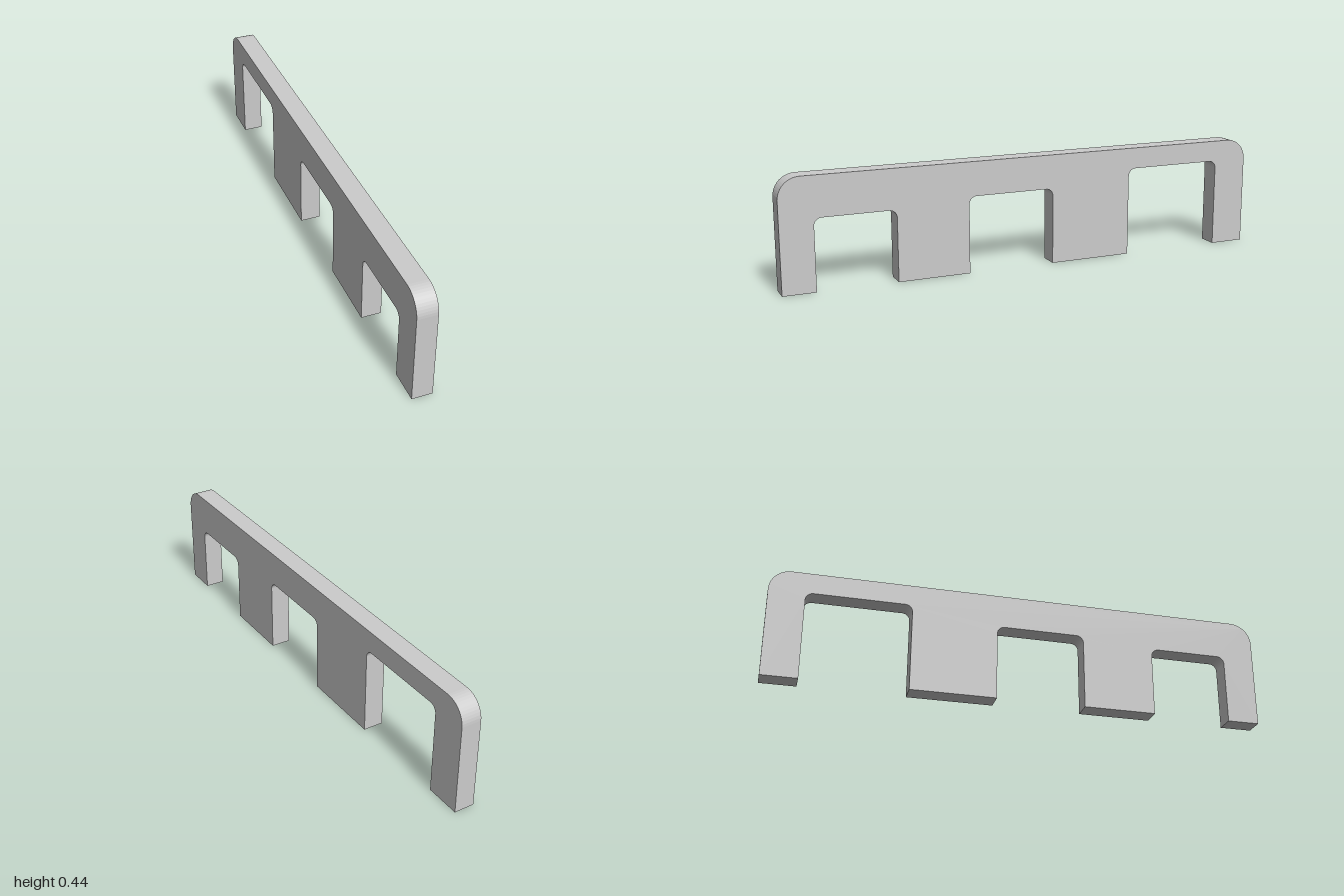
import * as THREE from 'three';

const WIDTH = 0.08;
const HEIGHT = 0.445;
const CORNER = 0.085;
const FILLET = 0.03;

// Openings between the legs, from back to front along z
const openings = [
  { back: -0.857, front: -0.44, top: 0.36 },
  { back: -0.097, front: 0.26, top: 0.308 },
  { back: 0.552, front: 0.87, top: 0.284 },
];

export function createModel() {
  const group = new THREE.Group();
  group.name = 'bridgeFrame';

  // Side profile: horizontal axis is z, vertical axis is y
  const profile = new THREE.Shape();
  profile.moveTo(-1, 0);
  for (const { back, front, top } of openings) {
    profile.lineTo(back, 0);
    profile.lineTo(back, top - FILLET);
    profile.absarc(back + FILLET, top - FILLET, FILLET, Math.PI, Math.PI / 2, true);
    profile.absarc(front - FILLET, top - FILLET, FILLET, Math.PI / 2, 0, true);
    profile.lineTo(front, 0);
  }
  profile.lineTo(1, 0);

  // Rounded outer top corners
  profile.absarc(1 - CORNER, HEIGHT - CORNER, CORNER, 0, Math.PI / 2, false);
  profile.absarc(-1 + CORNER, HEIGHT - CORNER, CORNER, Math.PI / 2, Math.PI, false);
  profile.closePath();

  // Extrude across the width and turn the profile to run along z
  const geometry = new THREE.ExtrudeGeometry(profile, {
    depth: WIDTH,
    bevelEnabled: false,
    curveSegments: 6,
  });
  geometry.translate(0, 0, -WIDTH / 2);
  geometry.rotateY(-Math.PI / 2);

  const frame = new THREE.Mesh(
    geometry,
    new THREE.MeshStandardMaterial({ color: 0xcccccc, flatShading: true })
  );
  frame.name = 'frame';
  group.add(frame);
  return group;
}
